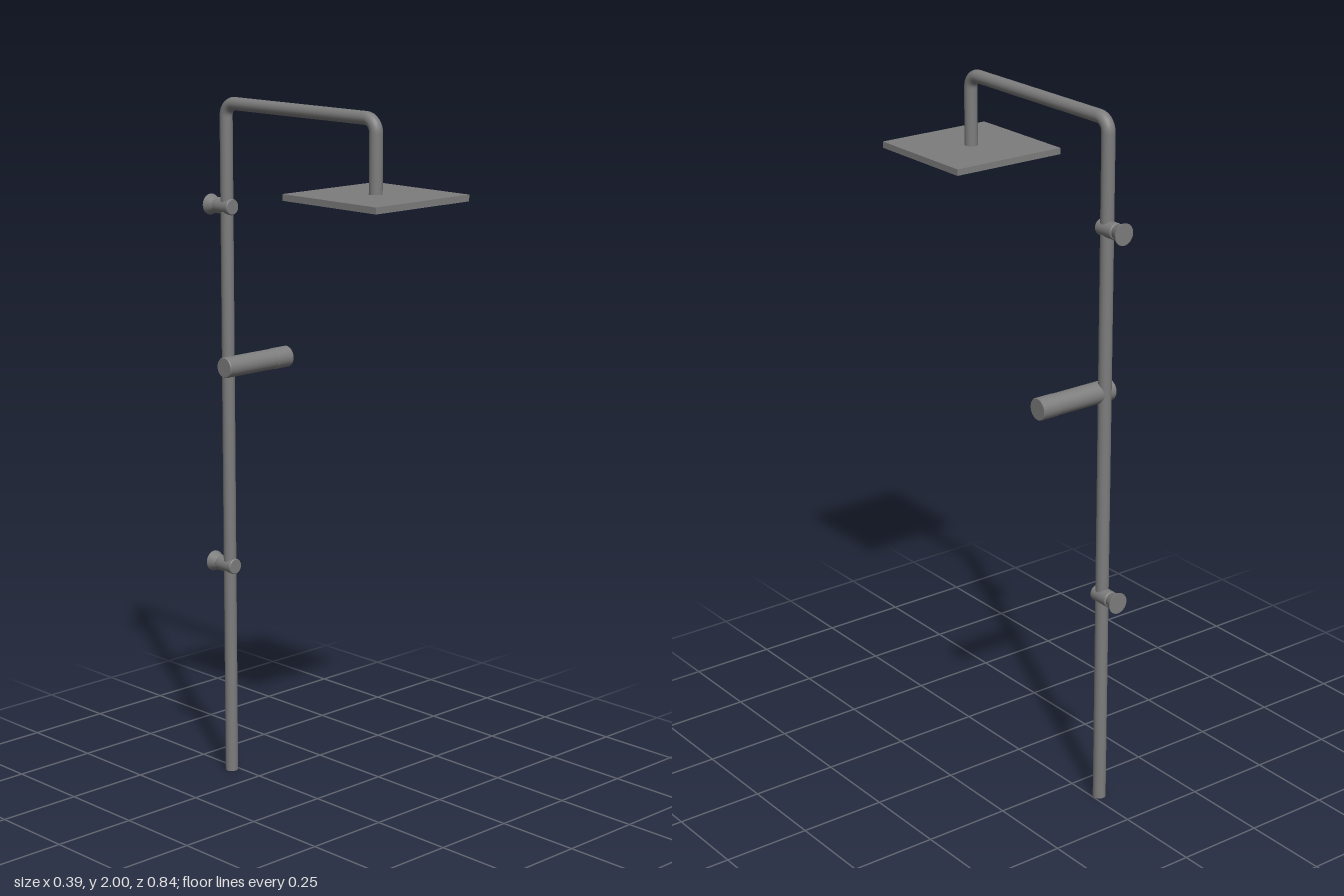
import * as THREE from 'three';

const PIPE_X = -0.02, PIPE_Z = -0.349, PIPE_R = 0.0185;
const HEAD_Z = 0.2435, PLATE_Y = 1.774, PLATE_T = 0.018;

export function createModel() {
  const model = new THREE.Group();
  model.name = 'showerColumn';
  const material = new THREE.MeshStandardMaterial({ color: 0x7d7d7d });

  function add(name, geometry, x = 0, y = 0, z = 0, parent = model) {
    const mesh = new THREE.Mesh(geometry, material);
    mesh.name = name;
    mesh.position.set(x, y, z);
    parent.add(mesh);
    return mesh;
  }

  // Turned part from [radius, height] pairs; each band keeps crisp edges
  function turned(name, profile, parent) {
    for (let i = 0; i < profile.length - 1; i++) {
      const pts = [profile[i], profile[i + 1]].map(([r, h]) => new THREE.Vector2(r, h));
      add(name, new THREE.LatheGeometry(pts, 32), 0, 0, 0, parent);
    }
  }

  // Riser pipe, overhead arm and drop to the shower head, with rounded bends
  const top = 2 - PIPE_R, bend = 0.036;
  const p = (y, z) => new THREE.Vector3(PIPE_X, y, z);
  const k = bend * 0.4477; // distance of the bend handles from the corner
  const path = new THREE.CurvePath();
  path.add(new THREE.LineCurve3(p(0, PIPE_Z), p(top - bend, PIPE_Z)));
  path.add(new THREE.CubicBezierCurve3(
    p(top - bend, PIPE_Z), p(top - k, PIPE_Z), p(top, PIPE_Z + k), p(top, PIPE_Z + bend)));
  path.add(new THREE.LineCurve3(p(top, PIPE_Z + bend), p(top, HEAD_Z - bend)));
  path.add(new THREE.CubicBezierCurve3(
    p(top, HEAD_Z - bend), p(top, HEAD_Z - k), p(top - k, HEAD_Z), p(top - bend, HEAD_Z)));
  path.add(new THREE.LineCurve3(p(top - bend, HEAD_Z), p(PLATE_Y, HEAD_Z)));
  path.arcLengthDivisions = 1000;
  add('pipe', new THREE.TubeGeometry(path, 360, PIPE_R, 24, false));
  add('pipeEnd', new THREE.CircleGeometry(PIPE_R, 24), PIPE_X, 0, PIPE_Z).rotation.x = Math.PI / 2;

  // Square shower head with a grid of nearly flush nozzles underneath
  add('showerHead', new THREE.BoxGeometry(0.35, PLATE_T, 0.35), PIPE_X, PLATE_Y, HEAD_Z);
  const nozzle = new THREE.CylinderGeometry(0.003, 0.003, 0.001, 8);
  for (let i = 0; i < 6; i++) {
    for (let j = 0; j < 6; j++) {
      add('nozzle', nozzle, PIPE_X + (i - 2.5) * 0.05,
        PLATE_Y - PLATE_T / 2, HEAD_Z + (j - 2.5) * 0.05);
    }
  }

  // Wall brackets: clamp barrel and flared wall flange, running back along -z
  for (const y of [0.635, 1.69]) {
    const bracket = new THREE.Group();
    bracket.name = 'wallBracket';
    bracket.position.set(PIPE_X, y, -0.4185);
    bracket.rotation.x = Math.PI / 2;
    turned('bracketBody', [[0, 0], [0.03, 0], [0.03, 0.002], [0.019, 0.029], [0.021, 0.029],
      [0.023, 0.032], [0.023, 0.091], [0.021, 0.094], [0, 0.094]], bracket);
    model.add(bracket);
  }

  // Mixer valve: horizontal barrel with a slightly wider turning handle on the left
  const valve = new THREE.Group();
  valve.name = 'mixerValve';
  valve.position.set(-0.051, 1.231, -0.333);
  valve.rotation.z = -Math.PI / 2;
  turned('valveBody', [[0, 0], [0.028, 0], [0.03, 0.003], [0.03, 0.19]], valve);
  turned('valveHandle', [[0.03, 0.19], [0.031, 0.191], [0.031, 0.244], [0.029, 0.246],
    [0, 0.246]], valve);
  model.add(valve);

  return model;
}
